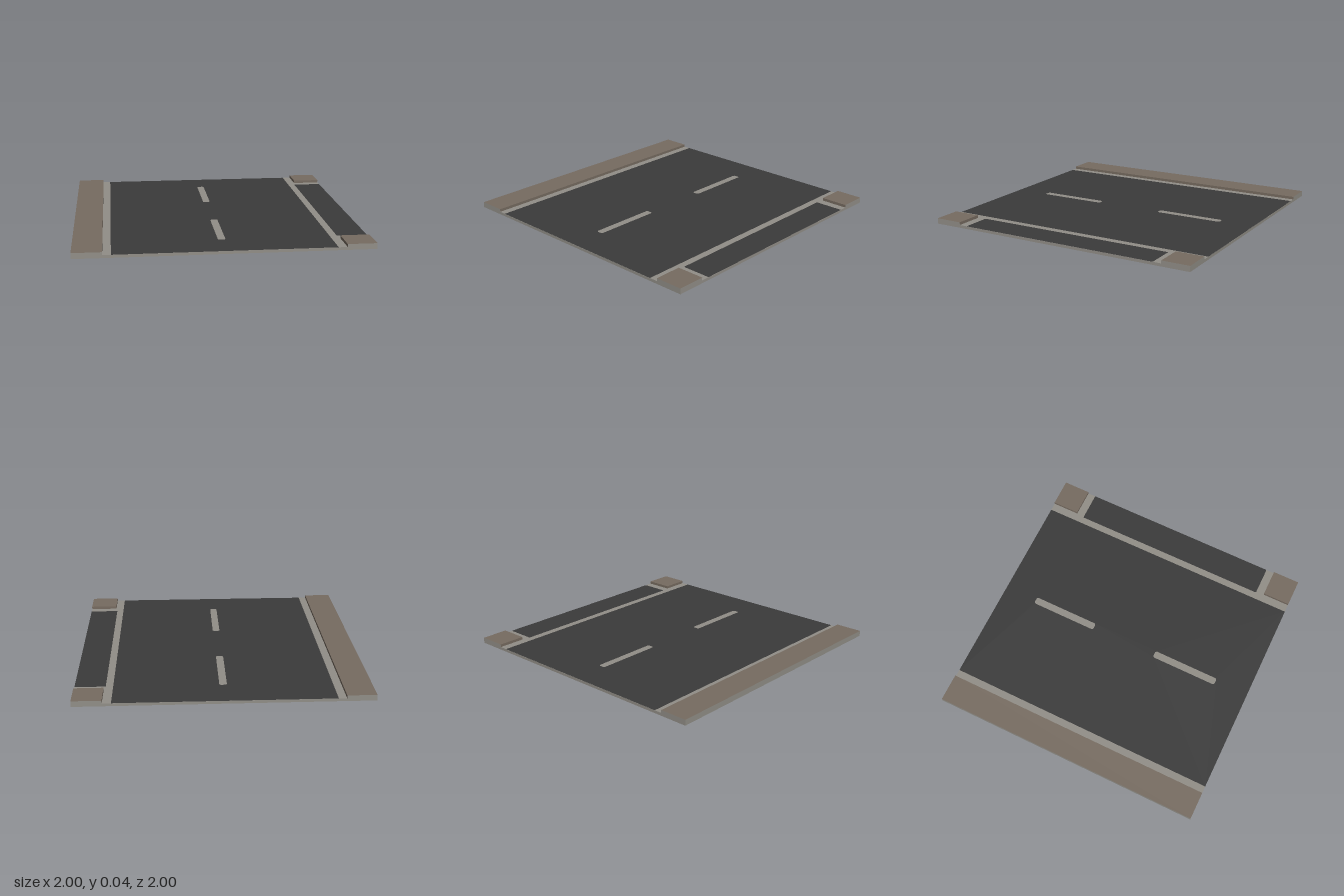
import * as THREE from 'three';

const material = (name, color) => {
  const m = new THREE.MeshStandardMaterial({ color });
  m.name = name;
  return m;
};

export function createModel() {
  const concrete = material('concrete', 0x918e87);
  const paving = material('paving', 0x766b60);
  const asphalt = material('asphalt', 0x3a3a3a);
  const group = new THREE.Group();
  group.name = 'roadJunctionTile';

  const ROAD = 0.02, KERB = 0.04;

  const add = (name, geometry, mat) => {
    const mesh = new THREE.Mesh(geometry, mat);
    mesh.name = name;
    group.add(mesh);
    return mesh;
  };

  // Rectangle outline with corners cut by c
  const outline = (Type, x0, x1, z0, z1, c = 0) => new Type([
    [x0 + c, z0], [x1 - c, z0], [x1, z0 + c], [x1, z1 - c],
    [x1 - c, z1], [x0 + c, z1], [x0, z1 - c], [x0, z0 + c],
  ].filter((p, i) => c > 0 || i % 2 === 0).map(([x, z]) => new THREE.Vector2(x, z)));

  // Concrete slab; its top shows as the road lines
  add('baseSlab', new THREE.BoxGeometry(2, ROAD, 2).translate(0, ROAD / 2, 0), concrete);

  // Asphalt sheets, the main one open at the centre dashes
  const layFlat = shape => new THREE.ShapeGeometry(shape).rotateX(-Math.PI / 2).translate(0, ROAD + 0.0004, 0);
  const main = outline(THREE.Shape, -0.745, 0.74, -1, 1);
  for (const z of [-0.5, 0.5]) {
    main.holes.push(outline(THREE.Path, -0.027, 0.025, z - 0.25, z + 0.25, 0.01));
  }
  add('mainRoad', layFlat(main), asphalt);
  add('sideRoad', layFlat(outline(THREE.Shape, 0.79, 1, -0.74, 0.74, 0.004)), asphalt);

  // Raised pavements: outer walls concrete, top and inner walls paved
  const pavement = (name, x0, x1, z0, z1) => {
    const walls = [x1 === 1, x0 === -1, false, true, z1 === 1, z0 === -1];
    const geometry = new THREE.BoxGeometry(x1 - x0, KERB - ROAD, z1 - z0)
      .translate((x0 + x1) / 2, (KERB + ROAD) / 2, (z0 + z1) / 2);
    add(name, geometry, walls.map(outer => (outer ? concrete : paving)));
  };
  pavement('longPavement', -1, -0.8, -1, 1);
  pavement('frontCornerPavement', 0.8, 1, 0.8, 1);
  pavement('backCornerPavement', 0.8, 1, -1, -0.8);

  return group;
}
